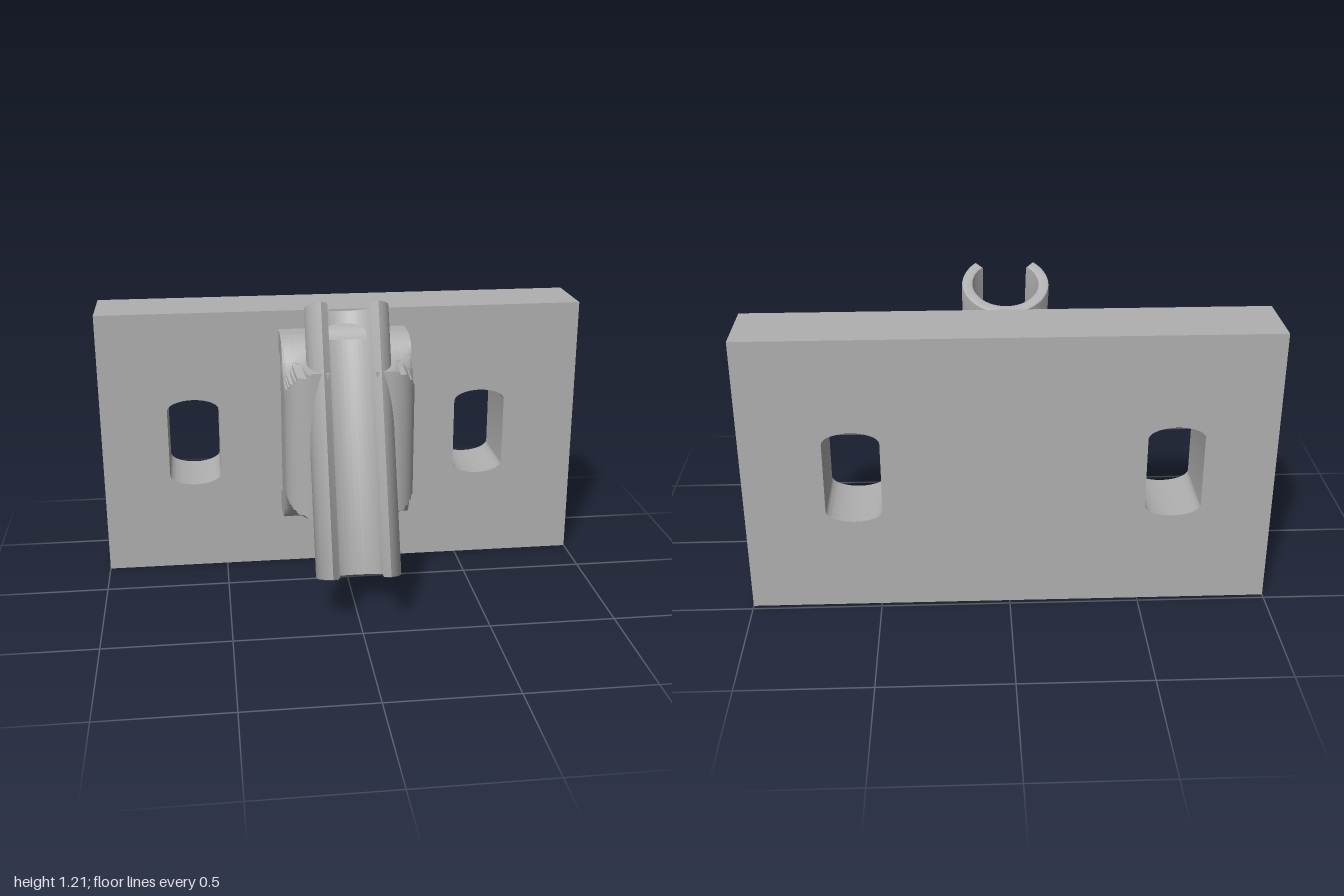
import * as THREE from 'three';
import { toCreasedNormals } from 'three/addons/utils/BufferGeometryUtils.js';

const TILT = Math.PI / 8;
const COS = Math.cos(TILT);
const BASE = { y: 0.174, z: 0.364 }; // lower end of the tube axis
const clamp = THREE.MathUtils.clamp;

// piecewise linear lookup, points ordered by falling z
function lookup(points, z) {
  for (let i = 1; i < points.length; i++) {
    const [z0, y0] = points[i - 1], [z1, y1] = points[i];
    if (z >= z1) return y0 + (y1 - y0) * clamp((z - z0) / (z1 - z0), 0, 1);
  }
  return points[points.length - 1][1];
}

const TOP = [[0.17, 0.95], [0.06, 0.951], [0.02, 0.96], [-0.01, 0.98], [-0.04, 1.012], [-0.07, 1.03], [-0.1, 1.035], [-0.12, 1.036]];
const BOTTOM = [[0.17, 0.34], [0.08, 0.336], [0.04, 0.328], [0, 0.308], [-0.03, 0.282], [-0.06, 0.262], [-0.09, 0.255], [-0.12, 0.254]];
const HALF = 0.26, ROUND = 0.11;

// furthest forward z of the saddle at a given x and y
function saddleFront(x, y) {
  const arc = Math.sqrt(Math.max(0, ROUND ** 2 - Math.max(0, x - 0.15) ** 2));
  const drop = ROUND - arc;
  for (let z = 0.06 + arc; z > -0.12; z -= 0.002) {
    const fade = THREE.MathUtils.smoothstep(z, -0.035, 0.055);
    if (y <= lookup(TOP, z) - drop * fade && y >= lookup(BOTTOM, z) + drop * 0.85 * fade) return z;
  }
  return -0.12;
}

// saddle built from horizontal sections, hollowed where the tube lies
function saddleGeometry() {
  const R = 0.146, N = 18, M = 12, back = -0.12;
  const ys = [0.338, 0.342, 0.949, 0.952];
  for (let i = 0; i <= 52; i++) ys.push(0.255 + 0.015 * i);
  ys.sort((a, b) => a - b);
  const pos = [], index = [];
  const K = 2 * (N + M) - 1, W = 2 * K;
  for (const y of ys) {
    const zc = BASE.z - (y - BASE.y) * Math.tan(TILT);
    let xj = HALF;
    while (xj > 0 && Math.hypot(xj, (saddleFront(xj, y) - zc) * COS) > R) xj = Math.max(0, xj - 0.002);
    const zj = saddleFront(xj, y);
    const half = [];
    for (let i = 0; i < N; i++) {
      const x = HALF - (HALF - xj) * (i / (N - 1)) ** 2;
      half.push([x, saddleFront(x, y)]);
    }
    const phi = Math.atan2(xj, (zc - zj) * COS);
    for (let i = 1; i <= M; i++) {
      const a = phi * (1 - i / M);
      half.push(xj > 0 ? [R * Math.sin(a), Math.max(back, zc - R * Math.cos(a) / COS)] : [0, zj]);
    }
    const chain = [...half, ...half.slice(0, -1).reverse().map(([x, z]) => [-x, z])];
    for (const [x, z] of chain) pos.push(x, y, z);
    for (let i = 0; i < K; i++) pos.push(-HALF + 2 * HALF * i / (K - 1), y, back);
  }
  for (let r = 0; r < ys.length - 1; r++) {
    for (let j = 0; j < W; j++) {
      const a = r * W + j, b = r * W + (j + 1) % W;
      index.push(a, a + W, b + W, a, b + W, b);
    }
  }
  const t = (ys.length - 1) * W;
  for (let j = 0; j < K - 1; j++) {
    const k = W - 1 - j;
    index.push(t + j, t + k, t + k - 1, t + j, t + k - 1, t + j + 1);
    index.push(j, k - 1, k, j, j + 1, k - 1);
  }
  const g = new THREE.BufferGeometry();
  g.setAttribute('position', new THREE.Float32BufferAttribute(pos, 3));
  g.setIndex(index);
  return toCreasedNormals(g, 0.6);
}

// slot with shallow domed ends
function slotPath(cx, cy) {
  const p = new THREE.Path(), w = 0.107, s = 0.14, h = 0.187;
  p.moveTo(cx + w, cy - s);
  p.lineTo(cx + w, cy + s);
  p.bezierCurveTo(cx + w, cy + 0.17, cx + 0.05, cy + h, cx, cy + h);
  p.bezierCurveTo(cx - 0.05, cy + h, cx - w, cy + 0.17, cx - w, cy + s);
  p.lineTo(cx - w, cy - s);
  p.bezierCurveTo(cx - w, cy - 0.17, cx - 0.05, cy - h, cx, cy - h);
  p.bezierCurveTo(cx + 0.05, cy - h, cx + w, cy - 0.17, cx + w, cy - s);
  return p;
}

// side profile in (z, y), extruded across x and centred
function crossExtrude(shape, width) {
  const g = new THREE.ExtrudeGeometry(shape, { depth: width, bevelEnabled: false, curveSegments: 10 });
  g.translate(0, 0, -width / 2);
  g.rotateY(-Math.PI / 2);
  return toCreasedNormals(g, 0.6);
}

export function createModel() {
  const model = new THREE.Group();
  const grey = new THREE.MeshStandardMaterial({ color: 0xb0b0b0 });
  grey.name = 'grey';
  const add = (name, geometry) => {
    const mesh = new THREE.Mesh(geometry, grey);
    mesh.name = name;
    model.add(mesh);
    return mesh;
  };

  // wall plate with two slots
  const plate = new THREE.Shape();
  plate.moveTo(-1, 0);
  plate.lineTo(1, 0);
  plate.lineTo(1, 1.112);
  plate.lineTo(-1, 1.112);
  plate.closePath();
  plate.holes.push(slotPath(-0.62, 0.558), slotPath(0.588, 0.558));
  const plateGeo = new THREE.ExtrudeGeometry(plate, { depth: 0.28, bevelEnabled: false, curveSegments: 16 });
  plateGeo.translate(0, 0, -0.48);
  add('wallPlate', toCreasedNormals(plateGeo, 0.6));

  // tilted tube, open along its front
  const gap = 42 * Math.PI / 180, bevel = 0.008;
  const from = -Math.PI / 2 + gap, to = 1.5 * Math.PI - gap;
  const ring = new THREE.Shape();
  ring.absarc(0, 0, 0.167, from, to, false);
  ring.absarc(0, 0, 0.125, to, from, true);
  ring.closePath();
  const tubeGeo = new THREE.ExtrudeGeometry(ring, {
    depth: 1.07 - 2 * bevel, curveSegments: 48, bevelThickness: bevel,
    bevelSize: bevel, bevelOffset: -bevel, bevelSegments: 2,
  });
  tubeGeo.translate(0, 0, bevel);
  const tube = add('splitTube', toCreasedNormals(tubeGeo, 0.6));
  tube.rotation.x = -Math.PI / 2 - TILT;
  tube.position.set(0, BASE.y, BASE.z);

  // saddle holding the tube
  add('saddle', saddleGeometry());

  // feet joining saddle and plate, with a narrower ridge on each
  for (const [name, inner, outer, ridge] of [['upper', 0.945, 1.035, 1.066], ['lower', 0.343, 0.255, 0.222]]) {
    const s = Math.sign(outer - inner);
    const foot = new THREE.Shape();
    foot.moveTo(-0.2, inner);
    foot.lineTo(-0.145, inner);
    foot.quadraticCurveTo(-0.12, inner, -0.12, inner - s * 0.03);
    foot.lineTo(-0.115, outer);
    foot.lineTo(-0.2, outer);
    foot.closePath();
    add(name + 'Foot', crossExtrude(foot, 2 * HALF));

    const rib = new THREE.Shape();
    rib.moveTo(-0.2, outer - s * 0.02);
    rib.lineTo(-0.08, outer - s * 0.02);
    rib.quadraticCurveTo(-0.1, ridge, -0.145, ridge);
    rib.lineTo(-0.2, ridge);
    rib.closePath();
    add(name + 'Ridge', crossExtrude(rib, 0.24));
  }
  return model;
}
